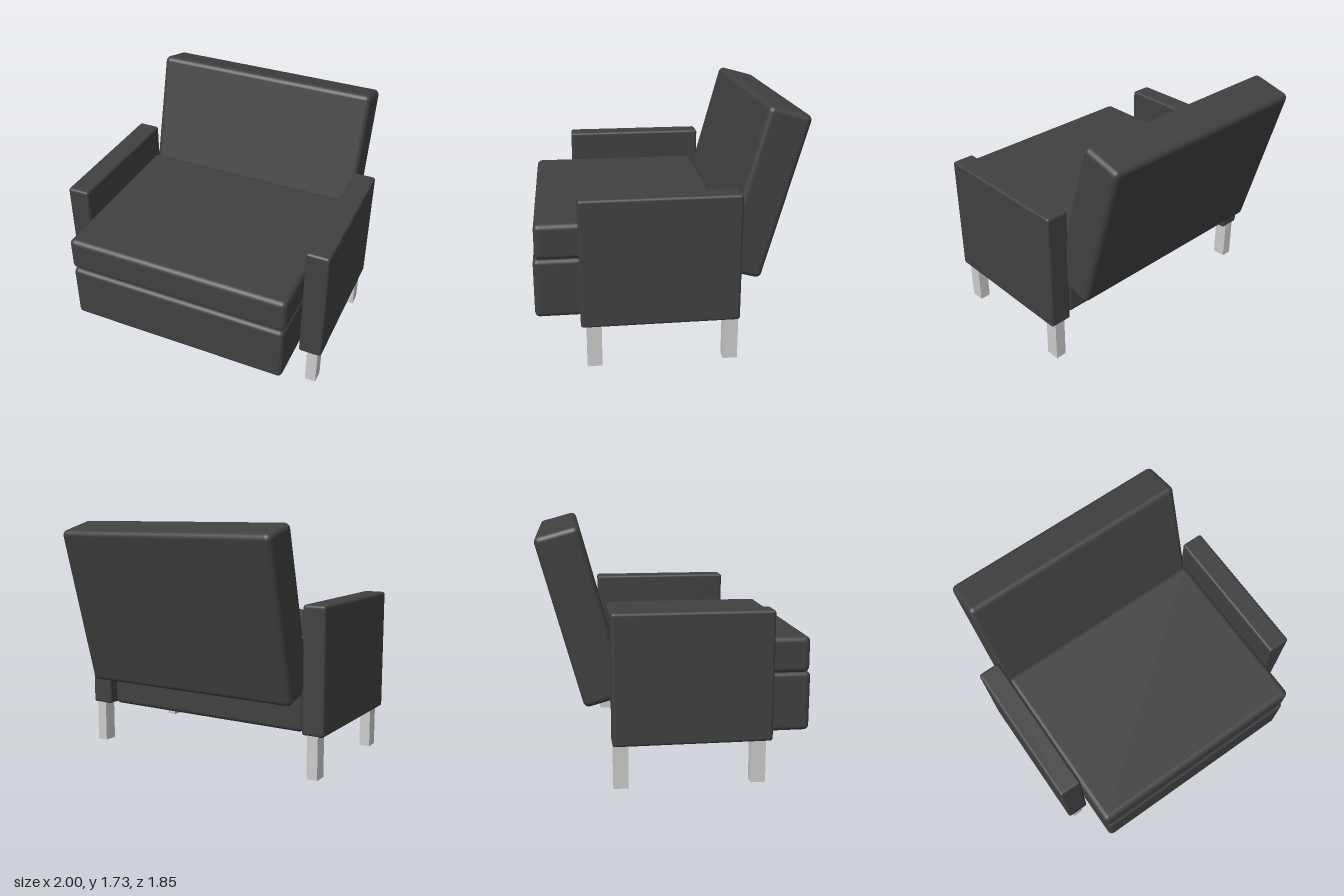
import * as THREE from 'three';
import { RoundedBoxGeometry } from 'three/addons/geometries/RoundedBoxGeometry.js';

export function createModel() {
  const group = new THREE.Group();
  const upholstery = new THREE.MeshStandardMaterial({ color: 0x404040 });
  upholstery.name = 'charcoal upholstery';
  const metal = new THREE.MeshStandardMaterial({ color: 0xcccccc });
  metal.name = 'brushed metal';

  // Soft block given by its extents on each axis
  function block(name, [x0, x1], [y0, y1], [z0, z1], radius) {
    const geometry = new RoundedBoxGeometry(x1 - x0, y1 - y0, z1 - z0, 4, radius);
    const mesh = new THREE.Mesh(geometry, upholstery);
    mesh.position.set((x0 + x1) / 2, (y0 + y1) / 2, (z0 + z1) / 2);
    mesh.name = name;
    group.add(mesh);
    return mesh;
  }

  // Seat
  block('seatBase', [-0.82, 0.815], [0.305, 0.725], [-0.41, 0.93], 0.035);
  block('seatCushion', [-0.835, 0.82], [0.722, 0.975], [-0.39, 0.918], 0.04);

  // Reclined backrest
  const back = block('backrest', [-0.842, 0.848], [0.543, 1.719], [-0.78, -0.475], 0.04);
  back.rotation.x = -THREE.MathUtils.degToRad(15.3);

  // Armrests
  block('leftArm', [0.832, 1], [0.302, 1.192], [-0.45, 0.625], 0.02);
  block('rightArm', [-1, -0.835], [0.302, 1.192], [-0.45, 0.625], 0.02);

  // Hollow rectangular tube legs, open at the foot
  const rectangle = (target, w, d) => target
    .moveTo(-w / 2, -d / 2).lineTo(w / 2, -d / 2)
    .lineTo(w / 2, d / 2).lineTo(-w / 2, d / 2).closePath();
  const section = rectangle(new THREE.Shape(), 0.08, 0.1);
  section.holes.push(rectangle(new THREE.Path(), 0.062, 0.082));
  const legGeometry = new THREE.ExtrudeGeometry(section, { depth: 0.31, bevelEnabled: false });
  legGeometry.rotateX(-Math.PI / 2);
  for (const [side, x] of [['left', 0.927], ['right', -0.918]]) {
    for (const [end, z] of [['Front', 0.537], ['Back', -0.393]]) {
      const leg = new THREE.Mesh(legGeometry, metal);
      leg.position.set(x, 0, z);
      leg.name = `${side}${end}Leg`;
      group.add(leg);
    }
  }
  return group;
}
